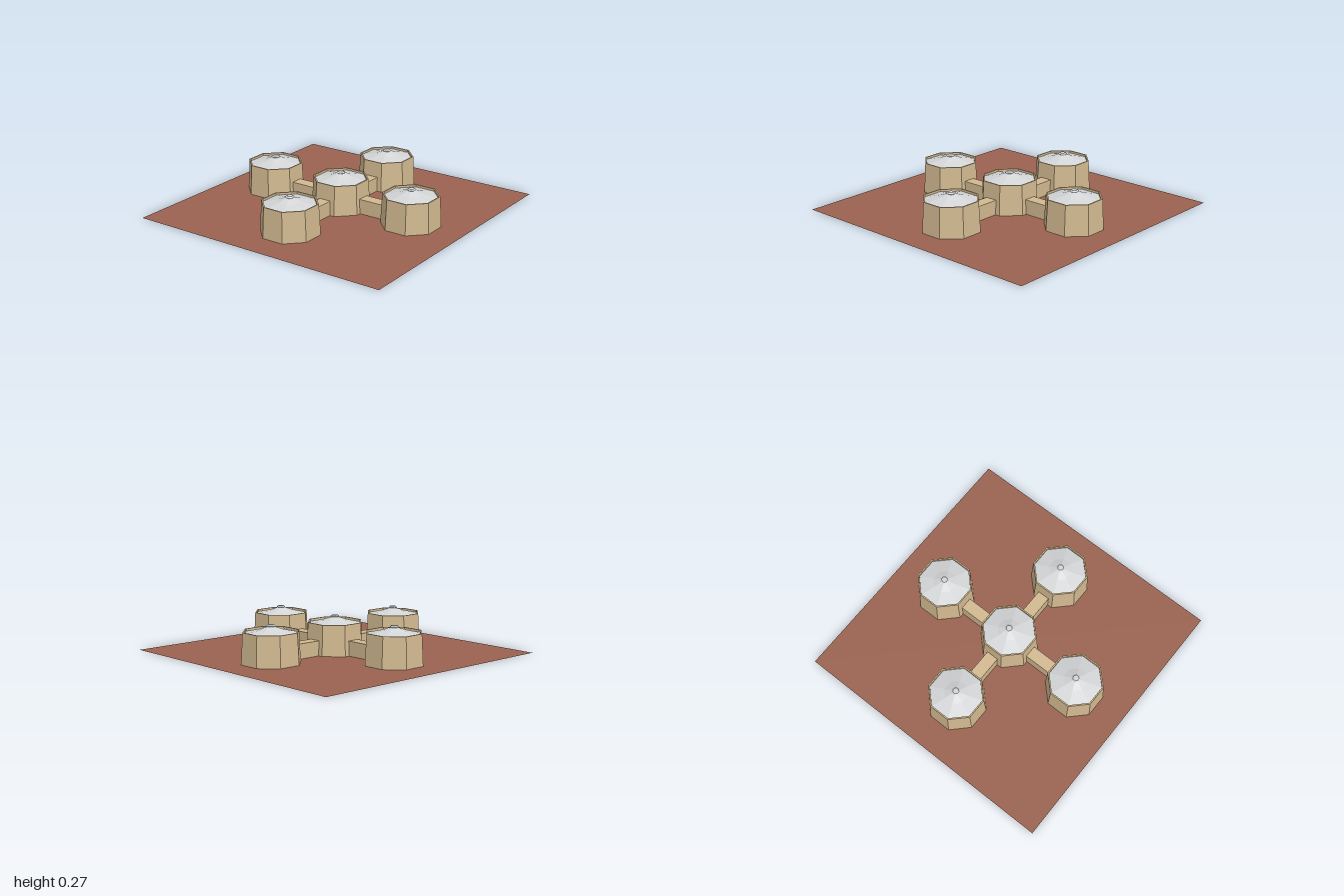
import * as THREE from 'three';

const K = 1 / Math.cos(Math.PI / 8); // flat-to-flat half width -> corner radius

// Eight-sided solid from [half width, y] pairs, flat sides facing the axes
function octagon(name, profile, material) {
  const points = profile.map(([r, y]) => new THREE.Vector2(r * K, y));
  const mesh = new THREE.Mesh(new THREE.LatheGeometry(points, 8, Math.PI / 8), material);
  mesh.name = name;
  return mesh;
}

export function createModel() {
  const model = new THREE.Group();
  model.name = 'settlement';
  const mat = (name, color) => {
    const m = new THREE.MeshStandardMaterial({ color, flatShading: true, side: THREE.DoubleSide });
    m.name = name;
    return m;
  };
  const soil = mat('red soil', 0x9a6250);
  const clay = mat('tan wall', 0xd2b990);
  const metal = mat('pale grey roof', 0xd3d5d7);

  // Ground sheet
  const ground = new THREE.Mesh(new THREE.PlaneGeometry(2, 2).rotateX(-Math.PI / 2), soil);
  ground.name = 'ground';
  model.add(ground);

  // Tapered tower with a parapet, a sunken tent roof and a small vent cap
  function tower(name, x, z) {
    const g = new THREE.Group();
    g.name = name;
    g.add(octagon('wall', [[0.198, 0], [0.187, 0.222], [0.177, 0.222], [0.177, 0.2]], clay));
    g.add(octagon('roof', [[0.178, 0.206], [0.08, 0.231], [0.026, 0.252], [0, 0.254]], metal));
    g.add(octagon('roofCap', [[0.02, 0.25], [0.03, 0.257], [0.02, 0.266], [0, 0.267]], metal));
    g.position.set(x, 0, z);
    model.add(g);
  }
  tower('centreTower', 0, 0);

  // Outer towers, each joined to the centre by a corridor
  const sides = [['left', 1, 0], ['right', -1, 0], ['front', 0, 1], ['back', 0, -1]];
  for (const [side, x, z] of sides) {
    tower(side + 'Tower', x * 0.594, z * 0.594);
    const corridor = new THREE.Mesh(
      new THREE.BoxGeometry(x ? 0.23 : 0.09, 0.108, z ? 0.23 : 0.09), clay);
    corridor.name = side + 'Corridor';
    corridor.position.set(x * 0.297, 0.054, z * 0.297);
    model.add(corridor);
  }
  return model;
}
